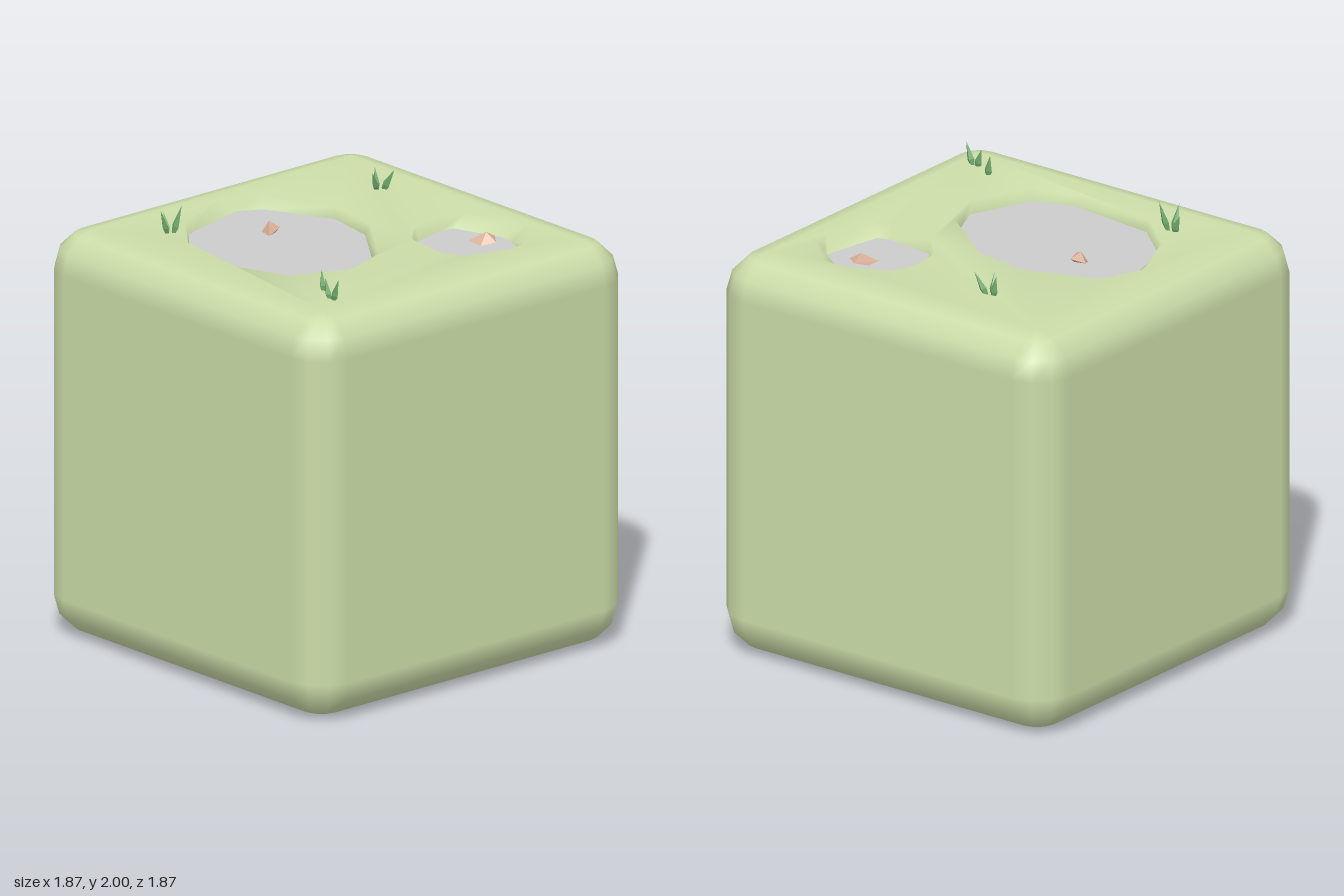
import * as THREE from 'three';
import { ConvexGeometry } from 'three/addons/geometries/ConvexGeometry.js';

const HALF = 0.935, FLAT = 0.75, R = HALF - FLAT, TOP = HALF * 2, FLOOR = 1.815;

const mat = (color, extra = {}) => new THREE.MeshStandardMaterial({ color, ...extra });
const soil = mat(0xcbdca8);
const grey = mat(0xcccccc);
const stone = mat(0xd8ae96, { flatShading: true });
const grass = mat(0x6fa86a, { flatShading: true });

// Pit outlines as [x, z]: upper rim and matching floor edge
const pits = [
  {
    name: 'largePit',
    rim: [[-0.6, -0.11], [-0.26, -0.235], [0.01, -0.19], [0.345, 0.06], [0.425, 0.28],
      [0.31, 0.545], [0.07, 0.64], [-0.33, 0.58], [-0.545, 0.4], [-0.68, 0.1]],
    floor: [[-0.57, -0.08], [-0.26, -0.225], [-0.01, -0.18], [0.325, 0.065], [0.41, 0.25],
      [0.29, 0.55], [0.11, 0.615], [-0.33, 0.565], [-0.53, 0.395], [-0.63, 0.03]],
  },
  {
    name: 'smallPit',
    rim: [[0.18, -0.6], [0.39, -0.69], [0.5, -0.68], [0.665, -0.52], [0.68, -0.43],
      [0.61, -0.21], [0.52, -0.16], [0.28, -0.19], [0.16, -0.32], [0.14, -0.475]],
    floor: [[0.18, -0.53], [0.41, -0.61], [0.5, -0.59], [0.59, -0.56], [0.61, -0.5],
      [0.56, -0.22], [0.5, -0.2], [0.26, -0.23], [0.21, -0.3], [0.17, -0.45]],
  },
];

function add(group, name, geometry, material) {
  const mesh = new THREE.Mesh(geometry, material);
  mesh.name = name;
  group.add(mesh);
  return mesh;
}

function buffer(pos, index, normals) {
  const g = new THREE.BufferGeometry();
  g.setAttribute('position', new THREE.Float32BufferAttribute(pos, 3));
  g.setIndex(index);
  if (normals) g.setAttribute('normal', new THREE.Float32BufferAttribute(normals, 3));
  else g.computeVertexNormals();
  return g;
}

// Rounded cube without its top face, as rings of four rounded corners
function blockGeometry() {
  const pos = [], nor = [], index = [], N = 16;
  const rings = [-90, -60, -30, 0, 0, 30, 60, 90];
  rings.forEach((deg, j) => {
    const phi = THREE.MathUtils.degToRad(deg);
    const cy = j < 4 ? R : TOP - R;
    for (let i = 0; i < N; i++) {
      const q = Math.floor(i / 4), th = (q + (i % 4) / 3) * Math.PI / 2;
      const n = [Math.cos(phi) * Math.cos(th), Math.sin(phi), Math.cos(phi) * Math.sin(th)];
      const cx = q === 0 || q === 3 ? FLAT : -FLAT, cz = q < 2 ? FLAT : -FLAT;
      pos.push(cx + R * n[0], cy + R * n[1], cz + R * n[2]);
      nor.push(...n);
    }
  });
  for (let j = 0; j < rings.length - 1; j++) {
    for (let i = 0; i < N; i++) {
      const a = j * N + i, b = j * N + (i + 1) % N;
      index.push(a, a + N, b, b, a + N, b + N);
    }
  }
  index.push(0, 4, 8, 0, 8, 12);
  return buffer(pos, index, nor);
}

// Top face with two holes, running smoothly down the pit walls
function groundGeometry() {
  const corners = [[-FLAT, -FLAT], [FLAT, -FLAT], [FLAT, FLAT], [-FLAT, FLAT]];
  const vec = (list) => list.map(([x, z]) => new THREE.Vector2(x, z));
  const flat = [...corners, ...pits.flatMap((p) => p.rim)];
  const pos = flat.flatMap(([x, z]) => [x, TOP, z]);
  const index = [];
  const holes = pits.map((p) => vec(p.rim).reverse());
  const order = [0, 1, 2, 3];
  let start = 4;
  for (const p of pits) {
    p.rim.forEach((_, i) => order.push(start + p.rim.length - 1 - i));
    start += p.rim.length;
  }
  for (const t of THREE.ShapeUtils.triangulateShape(vec(corners), holes)) {
    const [a, b, c] = t.map((i) => order[i]);
    const [A, B, C] = [flat[a], flat[b], flat[c]];
    const area = (B[0] - A[0]) * (C[1] - A[1]) - (B[1] - A[1]) * (C[0] - A[0]);
    if (area < 0) index.push(a, b, c);
    else index.push(a, c, b);
  }
  let rim = 4;
  for (const p of pits) {
    const n = p.rim.length, low = pos.length / 3;
    p.floor.forEach(([x, z]) => pos.push(x, FLOOR, z));
    for (let i = 0; i < n; i++) {
      const k = (i + 1) % n;
      index.push(rim + i, low + i, rim + k, rim + k, low + i, low + k);
    }
    rim += n;
  }
  return buffer(pos, index);
}

// Tapered four-sided blade from a base point to a tip
const bladeShape = [[0.008, 0], [0.02, 0.35], [0, 1]].map((p) => new THREE.Vector2(...p));
function blade(group, base, tip) {
  const from = new THREE.Vector3(...base), dir = new THREE.Vector3(...tip).sub(from);
  const mesh = add(group, 'blade', new THREE.LatheGeometry(bladeShape, 4), grass);
  mesh.position.copy(from);
  mesh.scale.set(1, dir.length(), 0.7);
  mesh.quaternion.setFromUnitVectors(new THREE.Vector3(0, 1, 0), dir.normalize());
}

export function createModel() {
  const model = new THREE.Group();
  add(model, 'block', blockGeometry(), soil);
  add(model, 'ground', groundGeometry(), soil);

  // Grey pit floors
  for (const p of pits) {
    const shape = new THREE.Shape(p.floor.map(([x, z]) => new THREE.Vector2(x, -z)));
    const g = new THREE.ShapeGeometry(shape).rotateX(-Math.PI / 2).translate(0, FLOOR, 0);
    add(model, p.name + 'Floor', g, grey);
  }

  // Angular pebbles: [x, height above floor, z]
  const pebbles = [
    [[-0.375, 0.015, 0.075], [-0.295, 0.02, 0.065], [-0.255, 0.01, 0.165],
      [-0.345, 0, 0.13], [-0.325, 0.05, 0.105], [-0.3, 0, 0.09]],
    [[0.37, 0.01, -0.45], [0.42, 0.02, -0.56], [0.48, 0.015, -0.515],
      [0.44, 0, -0.46], [0.425, 0.052, -0.505], [0.385, 0, -0.5]],
  ];
  for (const pts of pebbles) {
    const g = new ConvexGeometry(pts.map(([x, y, z]) => new THREE.Vector3(x, FLOOR + y, z)));
    add(model, 'pebble', g, stone);
  }

  // Grass tufts: base [x, z] and blade tips
  const tufts = [
    { base: [-0.485, 0.545], tips: [[-0.54, 1.95, 0.535], [-0.44, 2, 0.515], [-0.49, 1.98, 0.595]] },
    { base: [-0.34, -0.55], tips: [[-0.365, 1.96, -0.55], [-0.257, 1.967, -0.57], [-0.31, 1.955, -0.49]] },
    { base: [0.565, 0.57], tips: [[0.542, 1.963, 0.565]] },
    { base: [0.67, 0.622], tips: [[0.632, 1.955, 0.62], [0.72, 1.972, 0.622]] },
  ];
  for (const { base: [x, z], tips } of tufts) {
    const tuft = new THREE.Group();
    tuft.name = 'grassTuft';
    for (const tip of tips) {
      const root = [x + (tip[0] - x) * 0.2, TOP - 0.02, z + (tip[2] - z) * 0.2];
      blade(tuft, root, tip);
    }
    model.add(tuft);
  }
  return model;
}
